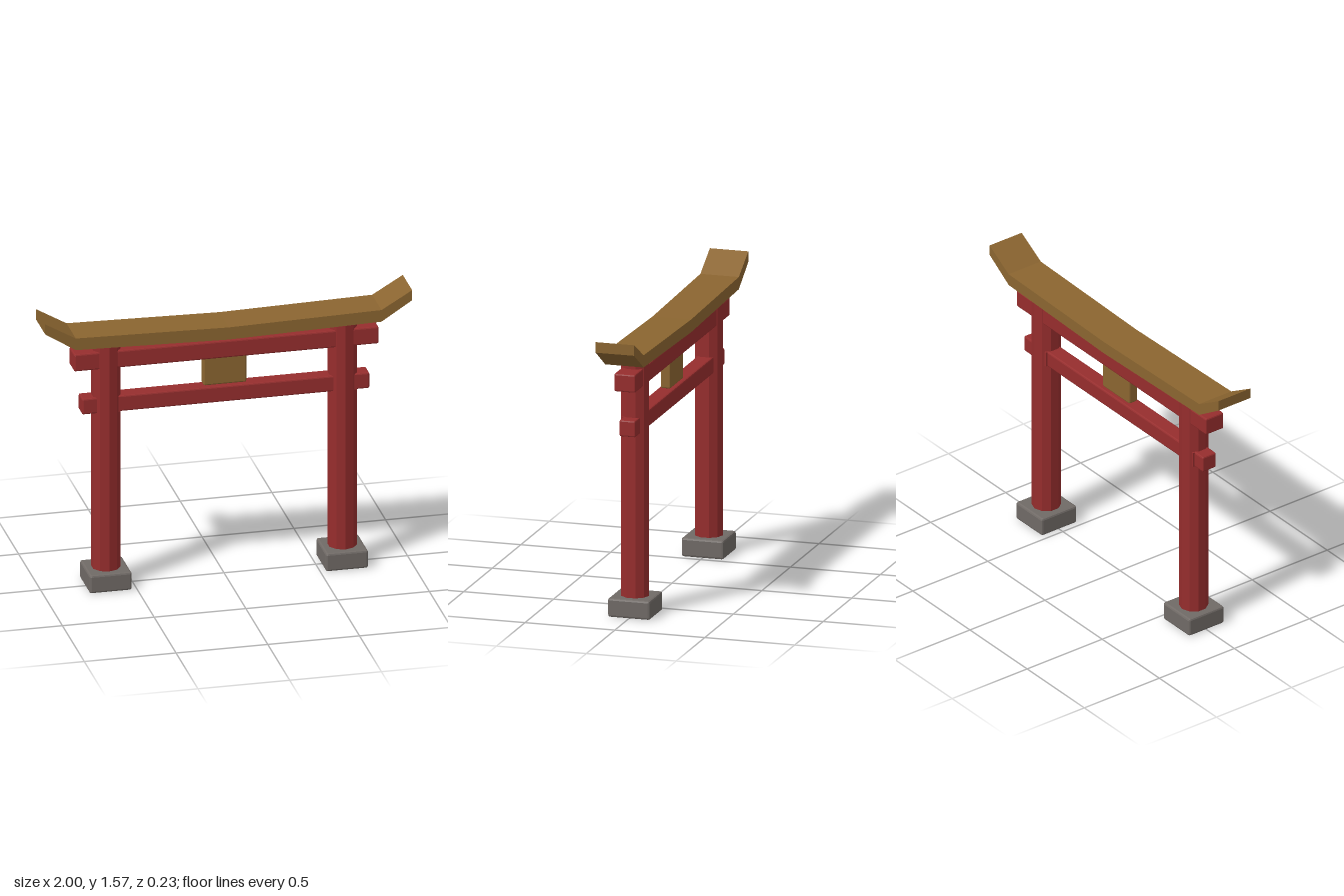
import * as THREE from 'three';
import { RoundedBoxGeometry } from 'three/addons/geometries/RoundedBoxGeometry.js';

const red = new THREE.MeshStandardMaterial({ color: 0x962d2d });
red.name = 'redPaint';
const brown = new THREE.MeshStandardMaterial({ color: 0x8b6530 });
brown.name = 'brownWood';
const grey = new THREE.MeshStandardMaterial({ color: 0x706a66 });
grey.name = 'greyStone';

// Faceted mesh: every face keeps its own normal
function part(name, geometry, material, x, y, z) {
  const flat = geometry.index ? geometry.toNonIndexed() : geometry;
  flat.computeVertexNormals();
  const mesh = new THREE.Mesh(flat, material);
  mesh.name = name;
  mesh.position.set(x, y, z);
  return mesh;
}

// Box with narrow chamfered edges
function block(name, w, h, d, material, x, y, z, bevel = 0.008) {
  return part(name, new RoundedBoxGeometry(w, h, d, 1, bevel), material, x, y, z);
}

// Roof beam: sagging centre and upswept tips
function roof() {
  const depth = 0.214;
  const s = new THREE.Shape();
  const outline = [
    [-1, 1.515], [-0.833, 1.408], [0, 1.387], [0.833, 1.408], [1, 1.515],
    [1, 1.573], [0.833, 1.475], [0, 1.457], [-0.833, 1.475], [-1, 1.573],
  ];
  s.setFromPoints(outline.map(([x, y]) => new THREE.Vector2(x, y)));
  const g = new THREE.ExtrudeGeometry(s, { depth, bevelEnabled: false });
  return part('roofBeam', g, brown, 0, 0, -depth / 2);
}

export function createModel() {
  const gate = new THREE.Group();
  gate.name = 'gate';

  for (const side of [-1, 1]) {
    const post = new THREE.Group();
    post.name = side > 0 ? 'leftPost' : 'rightPost';
    post.position.x = side * 0.644;
    // Stone foot, ten-sided pillar and thin cap
    post.add(block('foot', 0.23, 0.103, 0.234, grey, 0, 0.0515, 0, 0.011));
    post.add(part('pillar', new THREE.CylinderGeometry(0.078, 0.078, 1.315, 10), red, 0, 0.7475, 0));
    post.add(part('cap', new THREE.CylinderGeometry(0.088, 0.088, 0.012, 10), brown, 0, 1.403, 0));
    // Small wedges where the tie beam passes through
    for (const s of [-1, 1]) {
      post.add(part('wedge', new THREE.BoxGeometry(0.012, 0.085, 0.012), red, s * 0.062, 1.05, s * 0.049));
    }
    gate.add(post);
  }

  // Cross beams and centre plaque
  gate.add(block('upperBeam', 1.66, 0.098, 0.118, red, 0, 1.311, 0));
  gate.add(block('lowerBeam', 1.566, 0.09, 0.09, red, 0, 1.049, 0));
  gate.add(block('plaque', 0.234, 0.165, 0.055, brown, 0, 1.181, 0));
  gate.add(roof());

  return gate;
}
